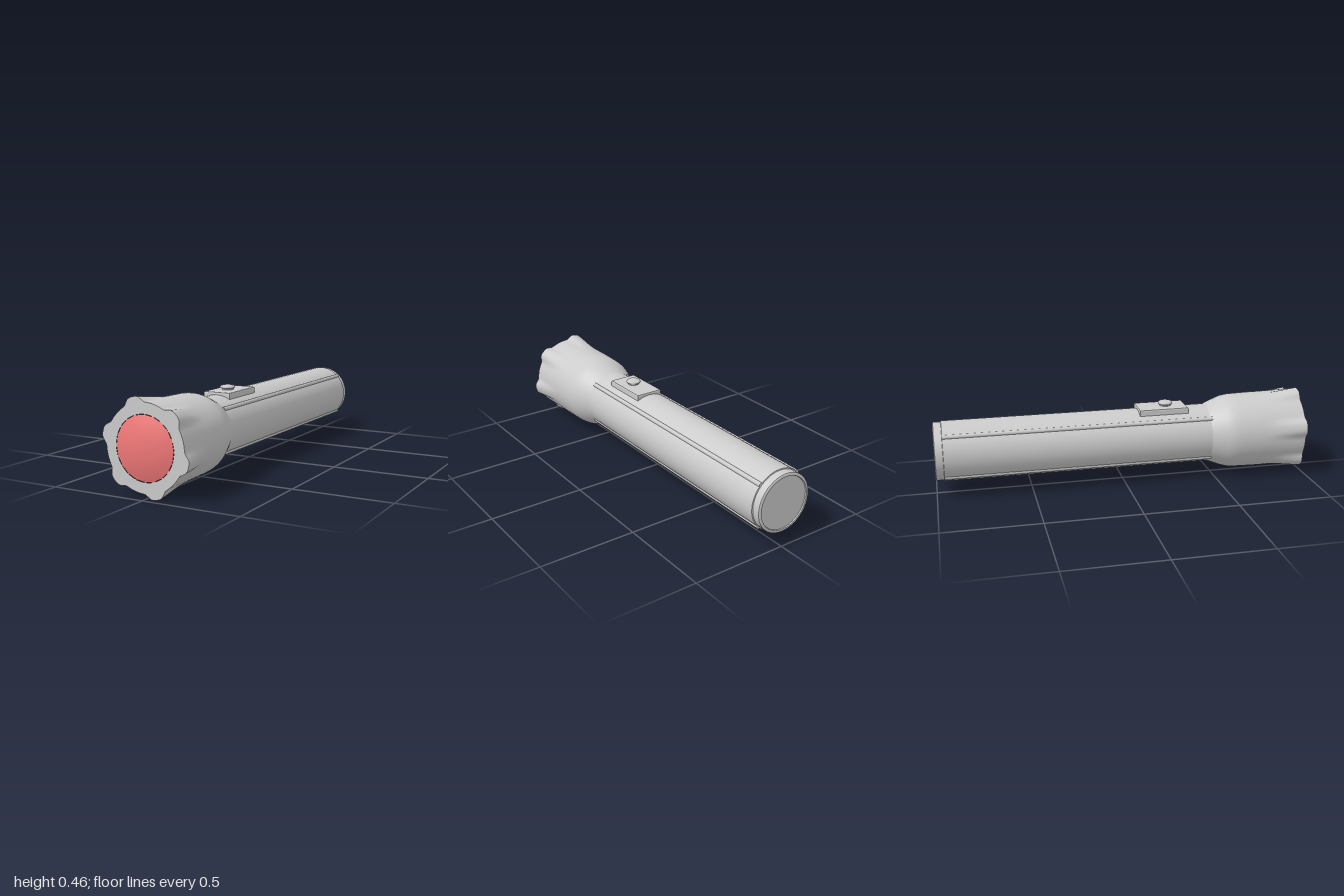
import * as THREE from 'three';
import { mergeVertices } from 'three/addons/utils/BufferGeometryUtils.js';

const AXIS_Y = 0.23;
const grey = new THREE.MeshStandardMaterial({ color: 0xcccccc });
const red = new THREE.MeshStandardMaterial({ color: 0xf27878 });

// Lathe around the z axis; points are [radius, z] from back to front
function latheZ(points, sides) {
  const g = new THREE.LatheGeometry(points.map(([r, z]) => new THREE.Vector2(r, z)), sides);
  return g.rotateX(Math.PI / 2);
}

// Six soft grip lobes that grow toward the front rim
function addLobes(geometry) {
  const p = geometry.attributes.position;
  const step = Math.PI / 3;
  for (let i = 0; i < p.count; i++) {
    const x = p.getX(i), y = p.getY(i), z = p.getZ(i);
    const r = Math.hypot(x, y);
    if (r < 0.18) continue;
    const a = Math.atan2(y, x) + Math.PI / 12;
    const off = Math.abs(a - Math.round(a / step) * step);
    const across = 1 - THREE.MathUtils.smoothstep(off, 0.08, 0.29);
    const along = THREE.MathUtils.smoothstep(z, 0.72, 1.05) / THREE.MathUtils.smoothstep(0.972, 0.72, 1.05);
    const k = 1 + (0.027 * across * along) / r;
    p.setXY(i, x * k, y * k);
  }
  geometry.deleteAttribute('normal');
  geometry.deleteAttribute('uv');
  const merged = mergeVertices(geometry, 1e-5);
  merged.computeVertexNormals();
  return merged;
}

export function createModel() {
  const model = new THREE.Group();
  const barrel = new THREE.Group();
  barrel.name = 'torch';
  barrel.position.y = AXIS_Y;
  model.add(barrel);

  const add = (name, geometry, material = grey) => {
    const mesh = new THREE.Mesh(geometry, material);
    mesh.name = name;
    barrel.add(mesh);
    return mesh;
  };

  // Straight handle tube and its rear shoulder
  add('handle', latheZ([[0.157, -0.955], [0.157, 0.48]], 40));
  add('handleShoulder', latheZ([[0.148, -0.958], [0.157, -0.955]], 40));

  // Four raised ribs along the handle
  for (let i = 0; i < 4; i++) {
    const a = Math.PI / 4 + (i * Math.PI) / 2;
    const rib = add('handleRib', new THREE.CylinderGeometry(0.012, 0.012, 1.425, 10).rotateX(Math.PI / 2));
    rib.position.set(Math.cos(a) * 0.153, Math.sin(a) * 0.153, -0.243);
  }

  // Tail cap: side band, rim and slightly recessed disc
  add('tailBand', latheZ([[0.152, -0.996], [0.152, -0.95]], 40));
  add('tailRim', latheZ([[0.138, -1], [0.148, -1], [0.152, -0.996]], 40));
  add('tailRecess', latheZ([[0.136, -0.994], [0.138, -1]], 40));
  add('tailDisc', latheZ([[0, -0.994], [0.136, -0.994]], 40));

  // Flared head with lobes, sampled along a smooth profile
  const profile = new THREE.CatmullRomCurve3(
    [[0.156, 0.46], [0.178, 0.515], [0.198, 0.575], [0.204, 0.68], [0.206, 0.82], [0.21, 0.972]]
      .map(([r, z]) => new THREE.Vector3(r, z, 0))
  ).getPoints(24).map(v => [v.x, v.y]);
  add('head', addLobes(latheZ(profile, 96)));

  // Flat front face following the lobed outline
  add('headFace', addLobes(latheZ([[0.21, 0.972], [0.155, 0.972]], 96)));

  // Shallow domed lens
  const dome = [];
  for (let i = 0; i <= 8; i++) {
    const r = 0.155 * (1 - i / 8);
    dome.push([r, 0.972 + 0.028 * (1 - (r / 0.155) ** 2)]);
  }
  add('lens', latheZ(dome, 20), red);

  // Switch plate with bevelled edges on top of the handle
  const outline = new THREE.Shape();
  outline.moveTo(-0.067, -0.125).lineTo(0.067, -0.125).lineTo(0.067, 0.125).lineTo(-0.067, 0.125);
  const plateGeometry = new THREE.ExtrudeGeometry(outline, {
    depth: 0.033, bevelThickness: 0.007, bevelSize: 0.008, bevelSegments: 2,
  }).rotateX(-Math.PI / 2);
  const plate = add('switchPlate', plateGeometry);
  plate.position.set(0, 0.13, 0.213);

  // Push button: short stem and rounded cap
  const stem = add('buttonStem', new THREE.CylinderGeometry(0.03, 0.03, 0.016, 20));
  stem.position.set(0, 0.174, 0.235);
  const cap = add('buttonCap', new THREE.LatheGeometry(
    [[0, 0], [0.034, 0], [0.038, 0.004], [0.038, 0.01], [0.033, 0.015], [0, 0.016]]
      .map(([r, y]) => new THREE.Vector2(r, y)), 20));
  cap.position.set(0, 0.177, 0.235);

  return model;
}
